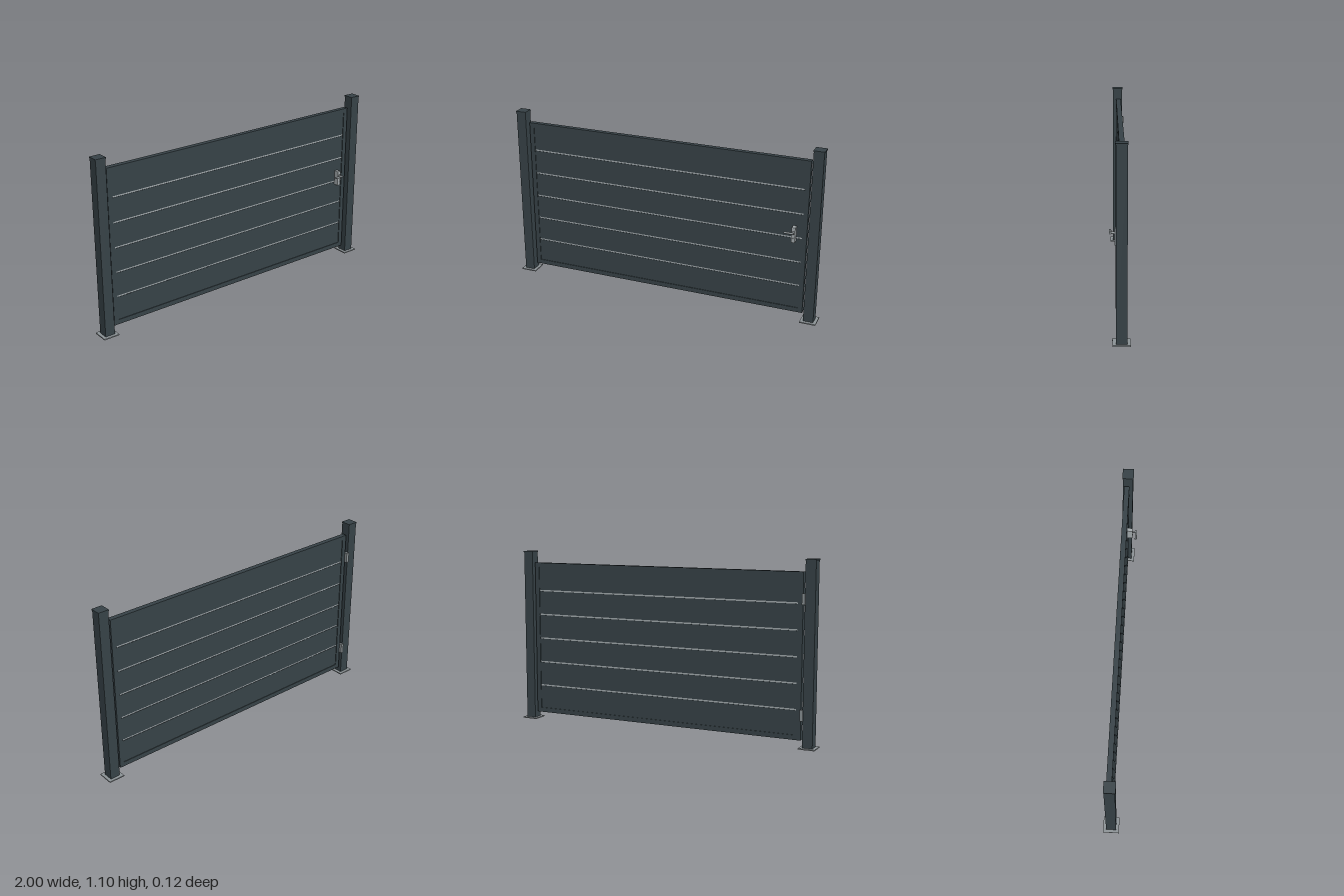
import * as THREE from 'three';

export function createModel() {
  const gate = new THREE.Group();
  gate.name = 'gate';

  const anthracite = new THREE.MeshStandardMaterial({ color: 0x374247 });
  anthracite.name = 'anthracite';
  const aluminium = new THREE.MeshStandardMaterial({ color: 0xa4abae });
  aluminium.name = 'aluminium';
  const steel = new THREE.MeshStandardMaterial({ color: 0x8c9396 });
  steel.name = 'steel';

  const add = (name, geometry, material, x, y, z) => {
    const mesh = new THREE.Mesh(geometry, material);
    mesh.name = name;
    mesh.position.set(x, y, z);
    gate.add(mesh);
    return mesh;
  };
  // Box given by its lower and upper limits on each axis
  const box = (name, material, [x0, x1], [y0, y1], [z0, z1]) =>
    add(name, new THREE.BoxGeometry(x1 - x0, y1 - y0, z1 - z0), material,
      (x0 + x1) / 2, (y0 + y1) / 2, (z0 + z1) / 2);

  // Posts with base plates and caps
  const postZ = -0.0085;
  const square = (name, material, x, half, y) =>
    box(name, material, [x - half, x + half], y, [postZ - half, postZ + half]);
  for (const x of [-0.95, 0.95]) {
    square('basePlate', steel, x, 0.05, [0, 0.007]);
    square('post', anthracite, x, 0.031, [0.007, 1.092]);
    square('postCap', anthracite, x, 0.0335, [1.092, 1.1]);
  }

  // Frame: one extruded rectangle with a rectangular opening
  const halfWidth = 0.905, innerHalf = 0.876;
  const bottom = 0.047, top = 1.027, innerBottom = 0.076, innerTop = 0.998;
  const corners = (w, y0, y1) =>
    [[-w, y0], [w, y0], [w, y1], [-w, y1]].map(([x, y]) => new THREE.Vector2(x, y));
  const outline = new THREE.Shape(corners(halfWidth, bottom, top));
  outline.holes.push(new THREE.Path(corners(innerHalf, innerBottom, innerTop).reverse()));
  add('frame', new THREE.ExtrudeGeometry(outline, { depth: 0.031, bevelEnabled: false }),
    anthracite, 0, 0, -0.03);

  // Six boards separated by five metal strips
  const boards = 6, strip = 0.009;
  const boardHeight = (innerTop - innerBottom - strip * (boards - 1)) / boards;
  for (let i = 0; i < boards; i++) {
    const y = innerBottom + i * (boardHeight + strip);
    box('board', anthracite, [-innerHalf, innerHalf], [y, y + boardHeight], [-0.026, -0.003]);
    if (i < boards - 1) {
      box('strip', aluminium, [-innerHalf, innerHalf],
        [y + boardHeight, y + boardHeight + strip], [-0.024, -0.005]);
    }
  }

  // Hinges bridging the gap to the post
  for (const y of [0.165, 0.84]) {
    box('hinge', steel, [-0.922, -0.903], [y, y + 0.065], [-0.048, -0.026]);
  }

  // Lock plate, spindle, lever and key cylinder
  box('lockPlate', aluminium, [0.819, 0.841], [0.516, 0.612], [-0.004, 0.029]);
  const rod = (name, radius, length) =>
    add(name, new THREE.CylinderGeometry(radius, radius, length, 20), steel, 0, 0, 0);
  const spindle = rod('spindle', 0.0065, 0.026);
  spindle.rotation.x = Math.PI / 2;
  spindle.position.set(0.831, 0.584, 0.04);
  const lever = rod('lever', 0.0065, 0.06);
  lever.rotation.z = Math.PI / 2;
  lever.position.set(0.809, 0.584, 0.0515);
  const keyCylinder = rod('keyCylinder', 0.005, 0.004);
  keyCylinder.rotation.x = Math.PI / 2;
  keyCylinder.position.set(0.83, 0.542, 0.029);

  return gate;
}
